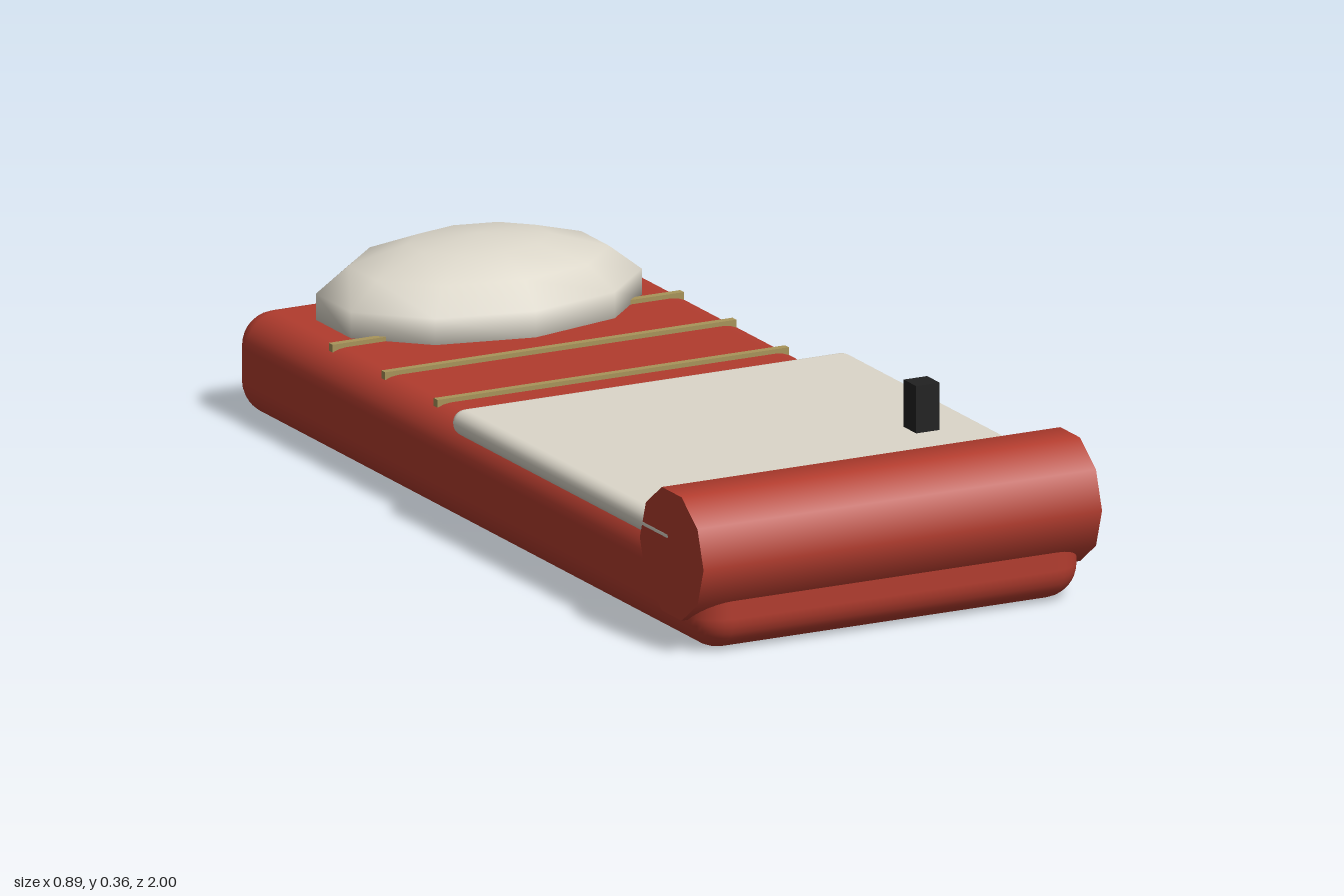
import * as THREE from 'three';
import { RoundedBoxGeometry } from 'three/addons/geometries/RoundedBoxGeometry.js';

const flat = (name, color) => {
  const m = new THREE.MeshStandardMaterial({ color });
  m.name = name;
  return m;
};

export function createModel() {
  const red = flat('red fabric', 0xb23c2e);
  const cream = flat('cream lining', 0xdcd7ca);
  const gold = flat('gold stitching', 0xa8945a);
  const black = flat('black zip pull', 0x222222);

  const group = new THREE.Group();
  group.name = 'sleepingBag';
  const add = (name, geometry, material, x, y, z) => {
    const mesh = new THREE.Mesh(geometry, material);
    mesh.name = name;
    mesh.position.set(x, y, z);
    group.add(mesh);
    return mesh;
  };

  // Padded body lying on the ground
  add('body', new RoundedBoxGeometry(0.86, 0.21, 1.965, 4, 0.07), red, 0, 0.105, -0.0125);

  // Folded-back lining, tucked into the roll
  add('liningFlap', new RoundedBoxGeometry(0.886, 0.053, 0.935, 3, 0.026), cream, 0, 0.22, 0.4075);

  // Ten-sided roll at the foot end
  const roll = add('footRoll', new THREE.CylinderGeometry(0.1325, 0.1325, 0.885, 10), red, 0, 0.189, 0.8675);
  roll.rotation.z = Math.PI / 2;

  // Low-sided squashed pillow, with a corner pointing to the front and back
  const pillow = new THREE.SphereGeometry(1, 10, 7);
  pillow.rotateY(Math.PI / 2);
  pillow.scale(0.348, 0.128, 0.2436);
  add('pillow', pillow, cream, 0, 0.235, -0.7625);

  // Quilting seams across the body
  for (const z of [-0.212, -0.43, -0.648]) {
    add('quiltSeam', new THREE.BoxGeometry(0.78, 0.016, 0.016), gold, 0, 0.211, z);
  }

  // Zip pull
  add('zipPull', new THREE.BoxGeometry(0.052, 0.1, 0.052), black, 0.309, 0.293, 0.5);

  return group;
}
